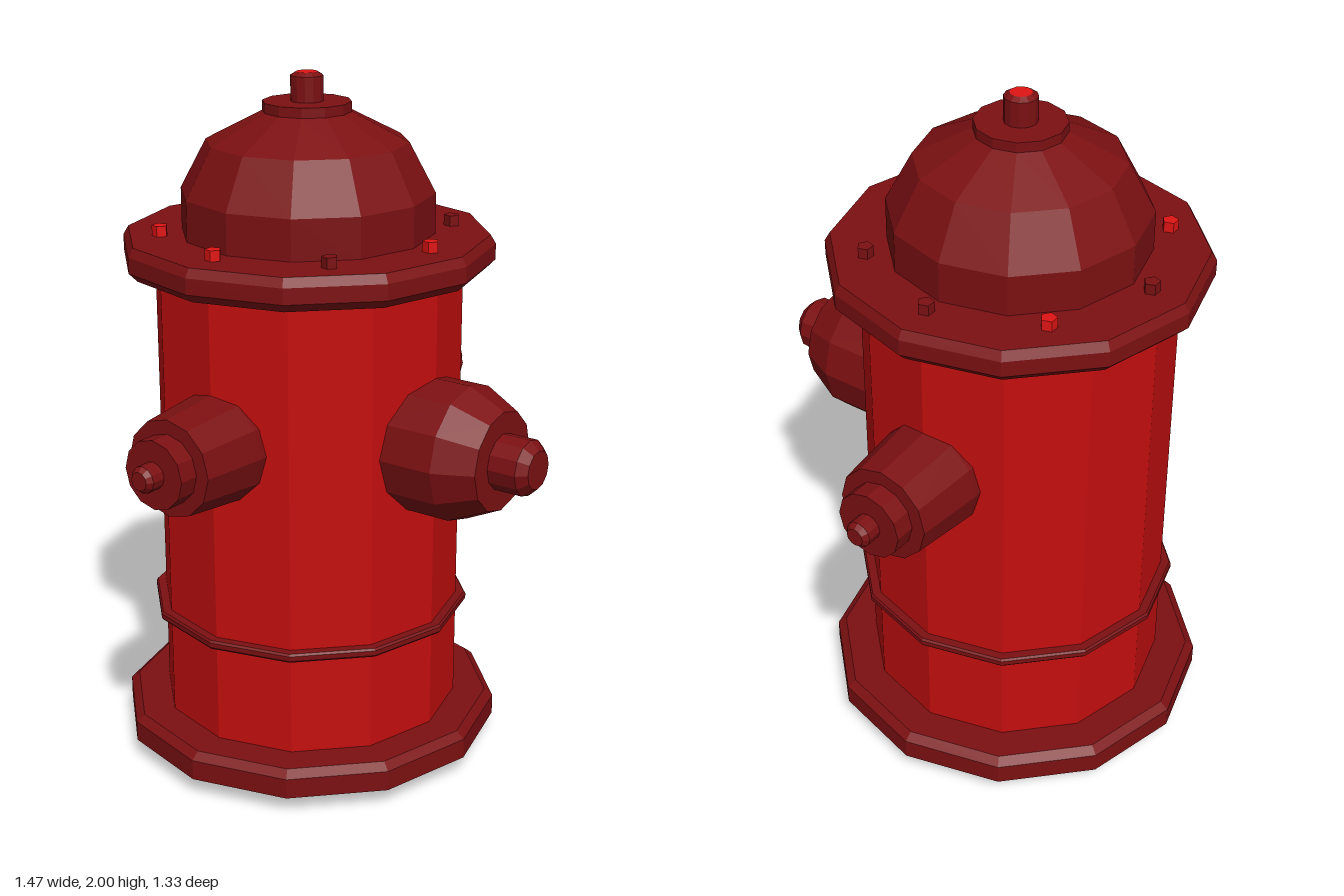
import * as THREE from 'three';

const mat = (name, color) => Object.assign(new THREE.MeshStandardMaterial({ color }), { name });

// Faceted lathe from [radius, height] pairs listed bottom to top
function turned(profile, sides = 12) {
  const points = profile.map(([r, y]) => new THREE.Vector2(r, y));
  const geo = new THREE.LatheGeometry(points, sides).toNonIndexed();
  geo.computeVertexNormals();
  return geo;
}

export function createModel() {
  const model = new THREE.Group();
  model.name = 'fireHydrant';
  const red = mat('bright red', 0xc40e0e);
  const dark = mat('dark red', 0x7c1012);
  const highlight = mat('signal red', 0xe01414);

  // Everything shares an axis set slightly back, balancing the front outlet
  const hydrant = new THREE.Group();
  hydrant.name = 'hydrant';
  hydrant.position.z = -0.105;
  model.add(hydrant);
  const add = (name, geo, material) => {
    const mesh = new THREE.Mesh(geo, material);
    mesh.name = name;
    hydrant.add(mesh);
    return mesh;
  };

  // Barrel and base
  add('foot', turned([[0, 0], [0.42, 0], [0.42, 0.06]]), red);
  add('baseFlange', turned([[0.4, 0.055], [0.56, 0.055], [0.56, 0.115], [0.535, 0.135], [0.42, 0.135]]), dark);
  add('barrel', turned([[0.44, 0.13], [0.44, 1.47]]), red);
  add('barrelRing', turned([[0.43, 0.432], [0.465, 0.432], [0.47, 0.438], [0.47, 0.452], [0.465, 0.458], [0.43, 0.458]]), dark);

  // Bonnet
  add('topFlange', turned([[0.42, 1.46], [0.505, 1.46], [0.53, 1.485], [0.53, 1.53], [0.515, 1.555], [0.3, 1.555]]), dark);
  add('dome', turned([[0.36, 1.55], [0.36, 1.67], [0.285, 1.81], [0.125, 1.892], [0, 1.892]]), dark);
  add('domeCap', turned([[0.125, 1.885], [0.125, 1.92], [0, 1.92]]), dark);
  add('stem', turned([[0.046, 1.91], [0.046, 1.99], [0.03, 2]]), dark);
  add('stemTop', turned([[0.03, 2], [0, 2]]), highlight);

  // Flange bolts, counted from the front towards +x
  const brightBolts = [0, 3, 5, 6];
  for (let i = 0; i < 8; i++) {
    const a = (i * Math.PI) / 4;
    const bolt = add('flangeBolt', turned([[0.023, 1.54], [0.023, 1.585], [0, 1.585]], 5),
      brightBolts.includes(i) ? highlight : dark);
    bolt.position.set(0.415 * Math.sin(a), 0, 0.415 * Math.cos(a));
  }

  // Large front outlet
  const front = turned([[0.195, 0.34], [0.195, 0.55], [0.143, 0.66], [0.08, 0.66], [0.08, 0.745], [0.055, 0.772], [0, 0.772]]);
  add('frontOutlet', front.rotateX(Math.PI / 2), dark).position.y = 1.005;

  // Side outlets
  for (const side of [1, -1]) {
    const geo = turned([[0.157, 0.36], [0.157, 0.42], [0.138, 0.62], [0.098, 0.62], [0.098, 0.68],
      [0.038, 0.68], [0.038, 0.722], [0.026, 0.737], [0, 0.737]]);
    add(side > 0 ? 'leftOutlet' : 'rightOutlet', geo.rotateZ((-side * Math.PI) / 2), dark).position.y = 1.027;
  }
  return model;
}
